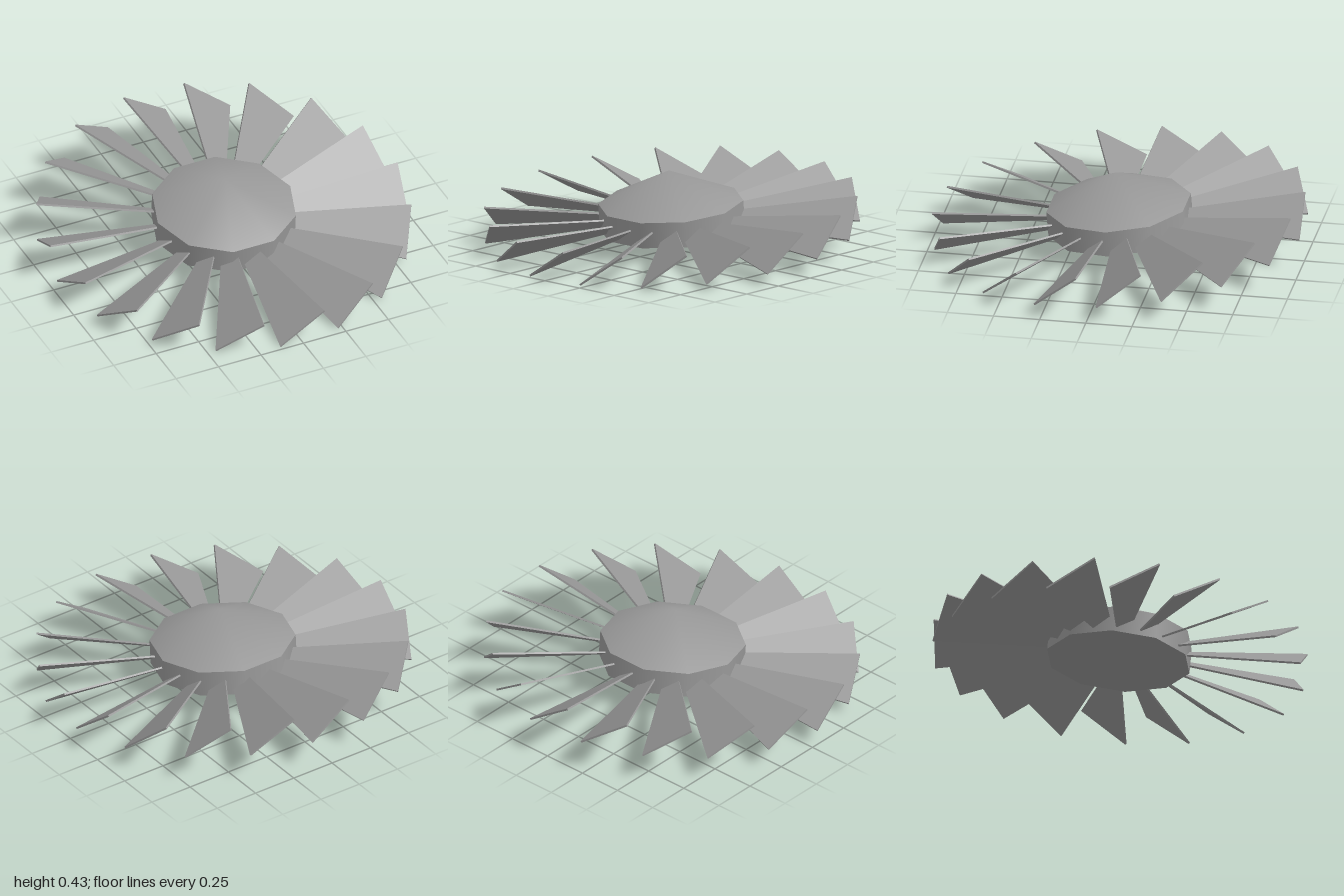
import * as THREE from 'three';
import { mergeVertices } from 'three/addons/utils/BufferGeometryUtils.js';

const HUB_RADIUS = 0.39, HUB_SIDES = 10;
const HUB_BOTTOM = -0.057, HUB_TOP = 0.083, APEX = 0.26;
const BLADES = 18, PITCH = THREE.MathUtils.degToRad(33.5);
const ROOT = { r: 0.33, w: 0.095 }, TIP = { r: 0.992, w: 0.303 }, THICKNESS = 0.01;

// Flat tapered blade along +x, pitched about its own length
function bladeGeometry() {
  const shape = new THREE.Shape([
    new THREE.Vector2(ROOT.r, -ROOT.w / 2),
    new THREE.Vector2(TIP.r, -TIP.w / 2),
    new THREE.Vector2(TIP.r, TIP.w / 2),
    new THREE.Vector2(ROOT.r, ROOT.w / 2),
  ]);
  const geo = new THREE.ExtrudeGeometry(shape, { depth: THICKNESS, bevelEnabled: false });
  geo.translate(0, 0, -THICKNESS / 2);
  geo.rotateX(PITCH - Math.PI / 2);
  return geo;
}

// Shallow cone welded at the apex, so the shading rolls smoothly over the top
function noseGeometry(height) {
  const cone = new THREE.ConeGeometry(HUB_RADIUS, height, HUB_SIDES, 1, true);
  cone.deleteAttribute('normal');
  cone.deleteAttribute('uv');
  const geo = mergeVertices(cone);
  geo.computeVertexNormals();
  return geo;
}

export function createModel() {
  const model = new THREE.Group();
  const material = new THREE.MeshStandardMaterial({ color: 0x999999 });

  // The whole fan leans slightly towards the front
  const fan = new THREE.Group();
  fan.name = 'fan';
  fan.position.y = 0.175;
  fan.rotation.x = THREE.MathUtils.degToRad(5);
  model.add(fan);

  const add = (name, geometry, y = 0, turn = 0) => {
    const mesh = new THREE.Mesh(geometry, material);
    mesh.name = name;
    mesh.position.y = y;
    mesh.rotation.y = turn;
    fan.add(mesh);
  };

  // Ten-sided hub with a nose cone; a corner points along +x
  const hubHeight = HUB_TOP - HUB_BOTTOM, coneHeight = APEX - HUB_TOP;
  add('hub', new THREE.CylinderGeometry(HUB_RADIUS, HUB_RADIUS, hubHeight, HUB_SIDES),
    (HUB_TOP + HUB_BOTTOM) / 2, Math.PI / 2);
  add('noseCone', noseGeometry(coneHeight), HUB_TOP + coneHeight / 2, Math.PI / 2);

  // Ring of pitched blades
  const blade = bladeGeometry();
  for (let i = 0; i < BLADES; i++) {
    add('blade', blade, 0, ((i + 0.5) / BLADES) * Math.PI * 2);
  }
  return model;
}
